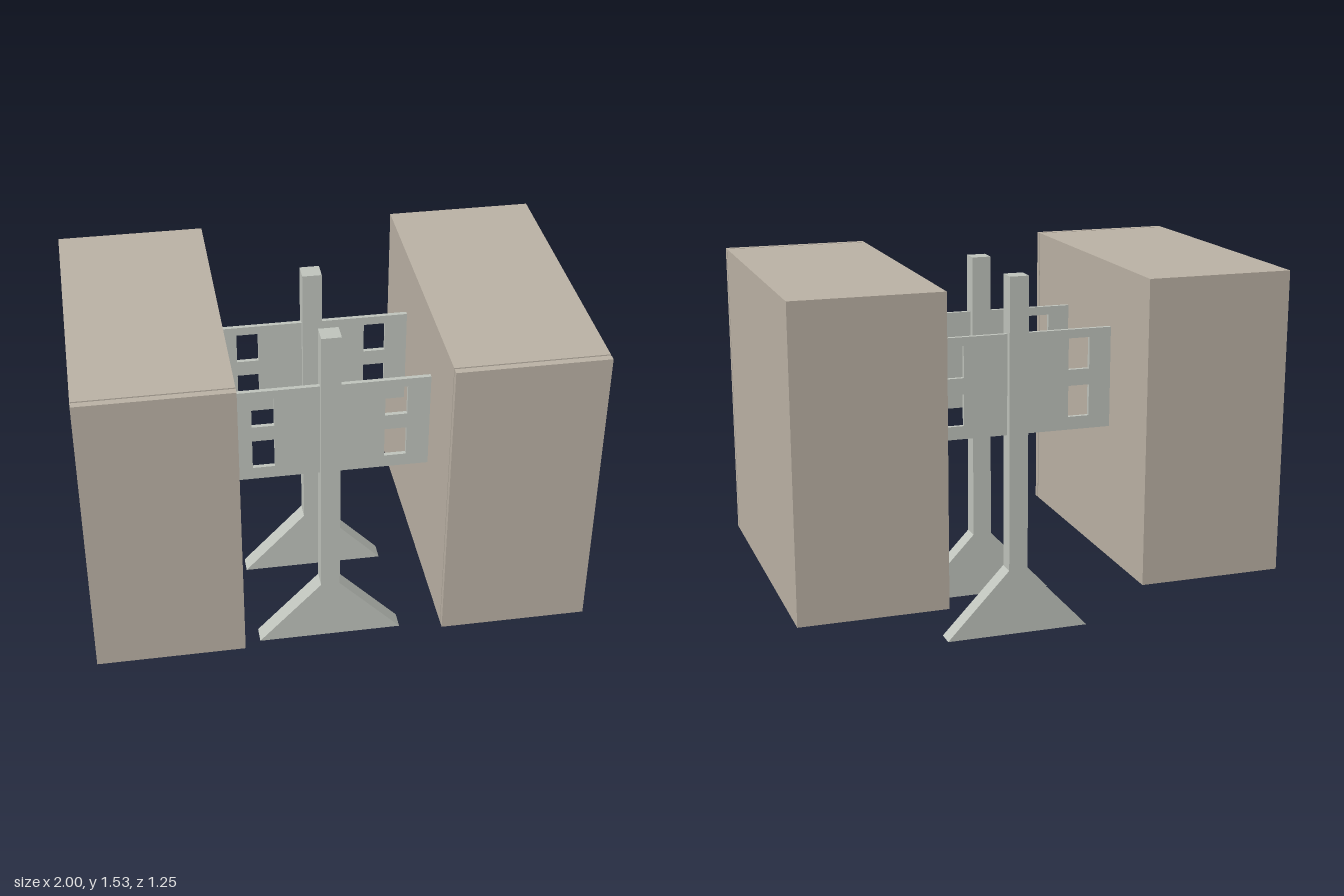
import * as THREE from 'three';

const tan = new THREE.MeshStandardMaterial({ color: 0xbab1a4 });
const steel = new THREE.MeshStandardMaterial({ color: 0xbfc3bc });

// Box given by its minimum and maximum corners
function block(name, material, [x0, y0, z0], [x1, y1, z1]) {
  const mesh = new THREE.Mesh(new THREE.BoxGeometry(x1 - x0, y1 - y0, z1 - z0), material);
  mesh.position.set((x0 + x1) / 2, (y0 + y1) / 2, (z0 + z1) / 2);
  mesh.name = name;
  return mesh;
}

function outline(points, Type = THREE.Shape) {
  return new Type(points.map(([x, y]) => new THREE.Vector2(x, y)));
}

const rect = (x0, y0, x1, y1) => [[x0, y0], [x1, y0], [x1, y1], [x0, y1]];

// Flat part of the given thickness, centred on z = 0
function slab(name, shape, depth) {
  const geometry = new THREE.ExtrudeGeometry(shape, { depth, bevelEnabled: false });
  geometry.translate(0, 0, -depth / 2);
  const mesh = new THREE.Mesh(geometry, steel);
  mesh.name = name;
  return mesh;
}

// Cabinet body with a front panel set off by a thin recessed joint
function cabinet(name, side) {
  const group = new THREE.Group();
  group.name = name;
  const w = 0.298;
  group.add(
    block('cabinetBody', tan, [-w, 0.29, -0.627], [w, 1.53, 0.593]),
    block('panelJoint', tan, [-w + 0.01, 0.30, 0.593], [w - 0.01, 1.52, 0.6]),
    block('frontPanel', tan, [-w, 0.29, 0.6], [w, 1.53, 0.627]),
  );
  group.position.x = side * 0.702;
  return group;
}

// Upright with a flared foot, carrying a plate with a pair of slots on each side
function stand(name, z) {
  const group = new THREE.Group();
  group.name = name;
  const upright = outline([
    [-0.305, 0], [0.305, 0], [0.04, 0.28], [0.04, 1.505], [-0.04, 1.505], [-0.04, 0.28],
  ]);
  group.add(slab('uprightWithFoot', upright, 0.076));

  for (const side of [-1, 1]) {
    const [x0, x1] = side < 0 ? [-0.405, -0.03] : [0.03, 0.405];
    const plate = outline(rect(x0, 0.853, x1, 1.27));
    const [h0, h1] = side < 0 ? [-0.312, -0.222] : [0.222, 0.312];
    for (const y of [0.907, 1.104]) {
      plate.holes.push(outline(rect(h0, y, h1, y + 0.13), THREE.Path));
    }
    group.add(slab(side < 0 ? 'rightPlate' : 'leftPlate', plate, 0.018));
  }
  group.position.z = z;
  return group;
}

export function createModel() {
  const model = new THREE.Group();
  model.name = 'twinCabinetStand';
  model.add(
    cabinet('leftCabinet', 1),
    cabinet('rightCabinet', -1),
    stand('frontStand', 0.24),
    stand('backStand', -0.24),
  );
  return model;
}
